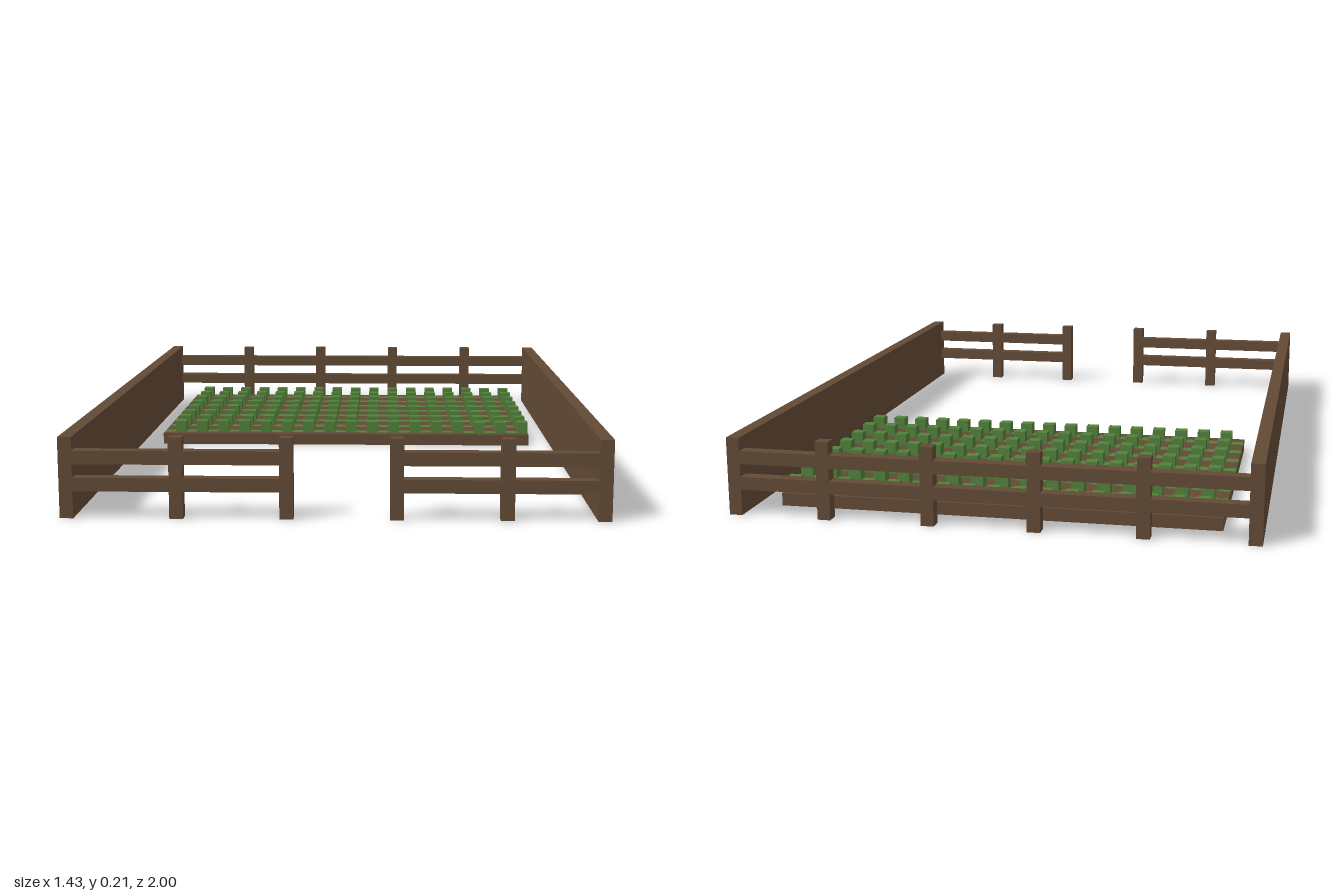
import * as THREE from 'three';

// Everything sits on a grid of small cubes, 28 to one unit
const U = 1 / 28;

const wood = new THREE.MeshStandardMaterial({ color: 0x624a35 });
wood.name = 'brown wood and soil';
const leaf = new THREE.MeshStandardMaterial({ color: 0x52803a });
leaf.name = 'crop green';

// Box given by its lower and upper corners in grid cells
function block(parent, name, material, [x0, y0, z0], [x1, y1, z1]) {
  const geometry = new THREE.BoxGeometry((x1 - x0) * U, (y1 - y0) * U, (z1 - z0) * U);
  const mesh = new THREE.Mesh(geometry, material);
  mesh.position.set((x0 + x1) / 2 * U, (y0 + y1) / 2 * U, (z0 + z1) / 2 * U);
  mesh.name = name;
  parent.add(mesh);
}

// Run of posts with two rails in each bay, from x = start to x = end
function fence(name, z, posts, start, end) {
  const group = new THREE.Group();
  group.name = name;
  let from = start;
  for (const x of [...posts, end]) {
    if (x > from) {
      for (const y of [2, 4]) block(group, 'rail', wood, [from, y, z], [x, y + 1, z + 1]);
    }
    if (x < end) block(group, 'post', wood, [x, 0, z], [x + 1, 6, z + 1]);
    from = x + 1;
  }
  return group;
}

export function createModel() {
  const model = new THREE.Group();
  model.name = 'fencedGarden';

  // Solid side walls
  block(model, 'rightWall', wood, [-20, 0, -28], [-19, 6, 28]);
  block(model, 'leftWall', wood, [19, 0, -28], [20, 6, 28]);

  // Back fence, and front fence with a gateway
  model.add(fence('backFence', -28, [-12, -4, 4, 12], -19, 19));
  model.add(fence('frontFenceRight', 27, [-12, -4], -19, -3));
  model.add(fence('frontFenceLeft', 27, [4, 12], 4, 19));

  // Field: soil strips alternating with planted rows
  const field = new THREE.Group();
  field.name = 'cropField';
  model.add(field);
  for (let row = 0; row < 8; row++) {
    const z = -25 + row * 3;
    block(field, 'soilStrip', wood, [-17, 0, z], [17, 1, z + 1]);
    block(field, 'cropRow', leaf, [-17, 0, z + 1], [17, 1, z + 2]);
    block(field, 'soilStrip', wood, [-17, 0, z + 2], [17, 1, z + 3]);
    for (let x = -16; x < 17; x += 2) {
      block(field, 'plant', leaf, [x, 1, z + 1], [x + 1, 2, z + 2]);
    }
  }
  return model;
}
